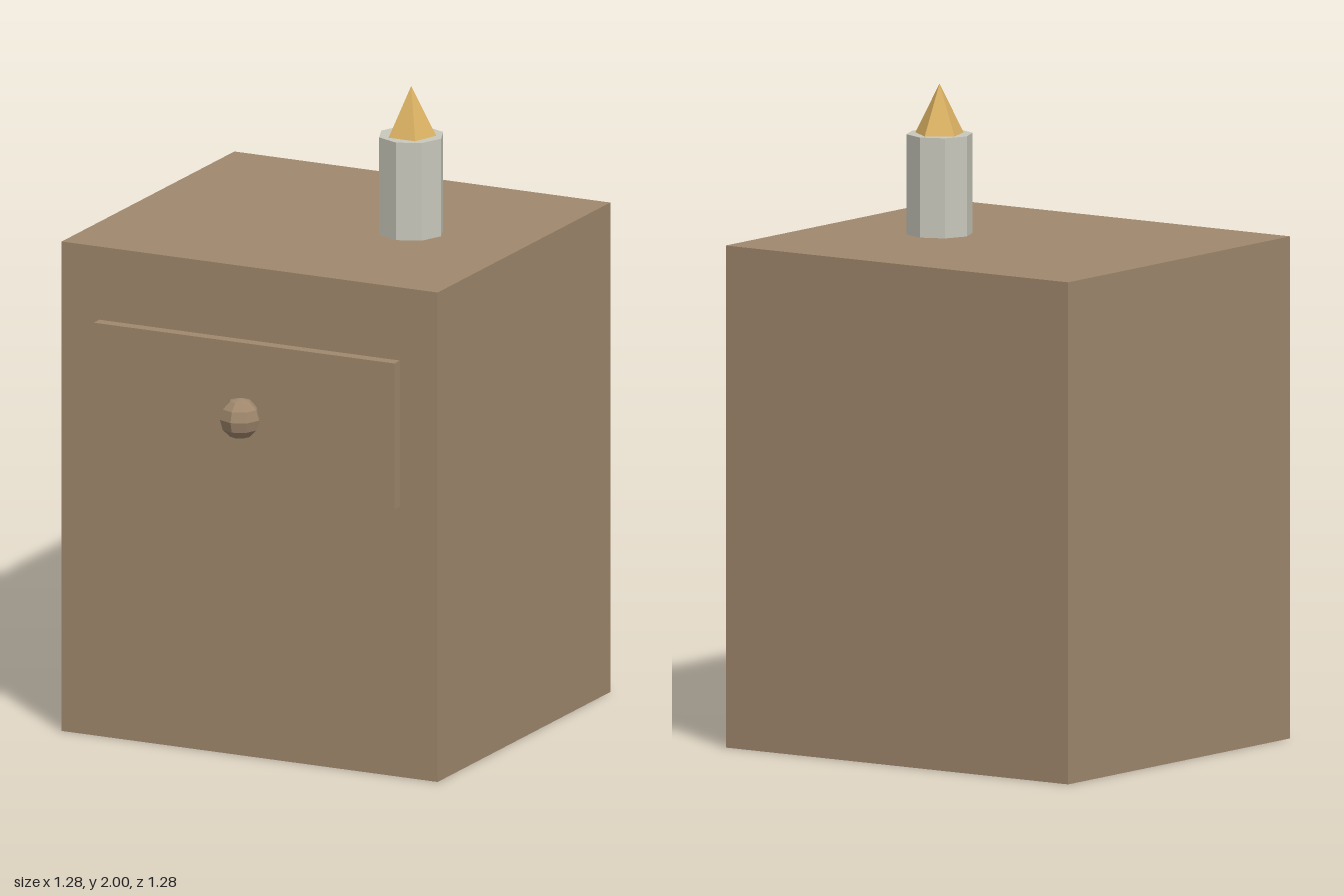
import * as THREE from 'three';

export function createModel() {
  const model = new THREE.Group();
  model.name = 'nightstandWithCandle';

  const material = (name, color) => {
    const m = new THREE.MeshStandardMaterial({ color, flatShading: true });
    m.name = name;
    return m;
  };
  const wood = material('wood', 0xa0886d);
  const wax = material('wax', 0xc9c8bc);
  const fire = material('flame', 0xdcb264);

  const add = (name, geometry, mat, x, y, z, parent = model) => {
    const mesh = new THREE.Mesh(geometry, mat);
    mesh.name = name;
    mesh.position.set(x, y, z);
    parent.add(mesh);
    return mesh;
  };

  // Cabinet with a raised drawer front and knob
  add('cabinet', new THREE.BoxGeometry(1.28, 1.54, 1.152), wood, 0, 0.77, -0.064);
  add('drawerFront', new THREE.BoxGeometry(1.024, 0.46, 0.038), wood, 0, 1.08, 0.531);
  add('drawerKnob', new THREE.SphereGeometry(0.064, 8, 6), wood, 0, 1.08, 0.576);

  // Candle: octagonal stick with a five-sided flame
  const candle = new THREE.Group();
  candle.name = 'candle';
  candle.position.set(0.256, 1.54, -0.064);
  model.add(candle);
  add('candleStick', new THREE.CylinderGeometry(0.102, 0.102, 0.307, 8), wax, 0, 0.1535, 0, candle);
  const flame = add('candleFlame', new THREE.ConeGeometry(0.077, 0.153, 5), fire, 0, 0.3835, 0, candle);
  flame.rotation.y = Math.PI;

  return model;
}
